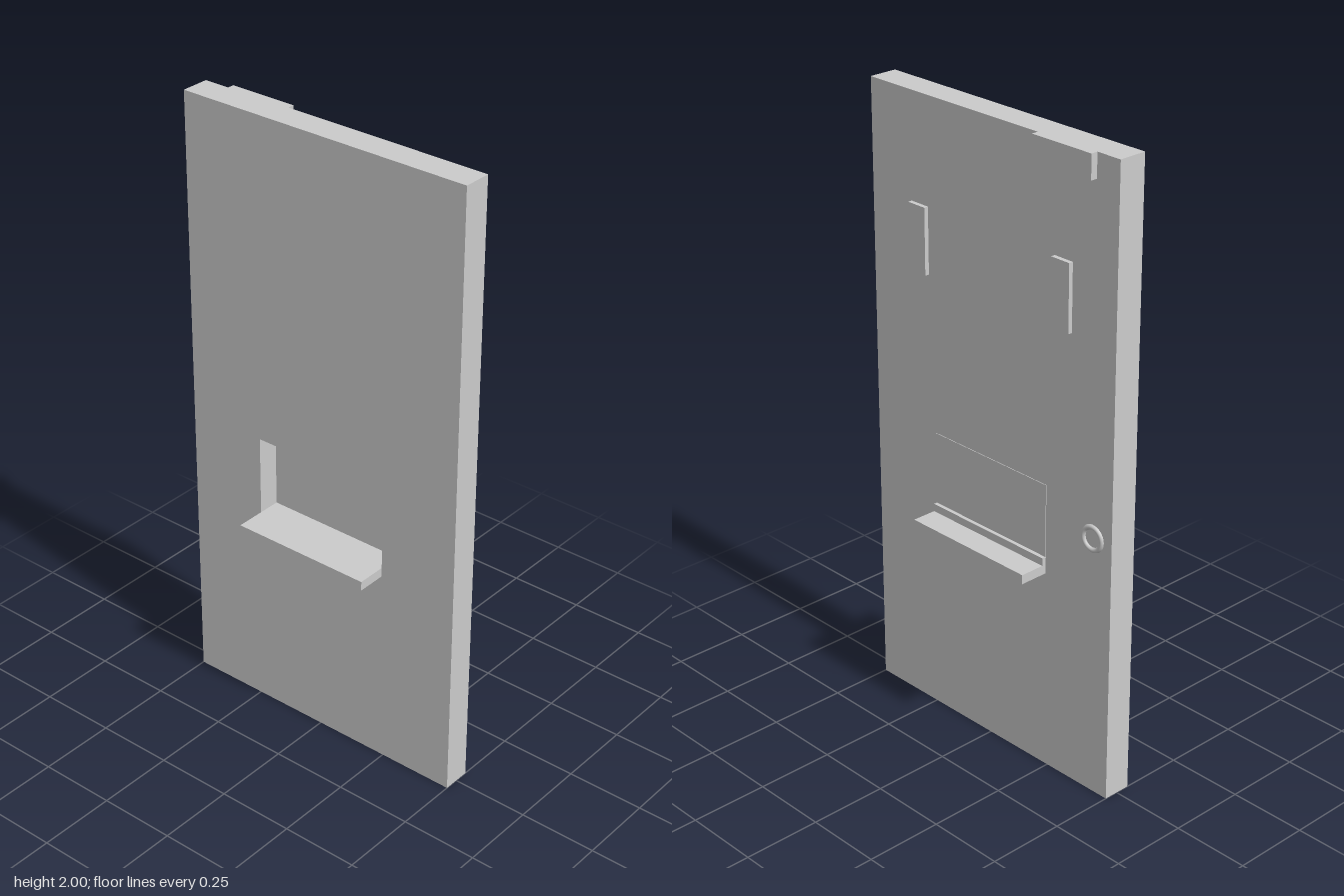
import * as THREE from 'three';

const T = 0.046; // half the slab thickness

export function createModel() {
  const group = new THREE.Group();
  const mat = new THREE.MeshStandardMaterial({ color: 0xcccccc });

  const add = (name, geometry) => {
    const mesh = new THREE.Mesh(geometry, mat);
    mesh.name = name;
    group.add(mesh);
    return mesh;
  };
  // Box given by its limits on each axis
  const box = (name, [x0, x1], [y0, y1], [z0, z1]) => {
    const mesh = add(name, new THREE.BoxGeometry(x1 - x0, y1 - y0, z1 - z0));
    mesh.position.set((x0 + x1) / 2, (y0 + y1) / 2, (z0 + z1) / 2);
    return mesh;
  };
  const rect = (C, x0, x1, y0, y1) =>
    new C().moveTo(x0, y0).lineTo(x1, y0).lineTo(x1, y1).lineTo(x0, y1).closePath();

  // Door slab with a window opening and a serving hatch
  const slab = rect(THREE.Shape, -0.5, 0.5, 0, 2);
  slab.holes.push(
    rect(THREE.Path, -0.33, 0.33, 1.455, 1.665),
    rect(THREE.Path, -0.236, 0.236, 0.66, 0.95)
  );
  const slabGeometry = new THREE.ExtrudeGeometry(slab, { depth: 2 * T, bevelEnabled: false });
  add('doorSlab', slabGeometry.translate(0, 0, -T));

  // Flush window pane and its raised side holders on the back
  box('windowPane', [-0.33, 0.33], [1.455, 1.665], [-T, T]);
  for (const s of [-1, 1]) {
    const holder = box('windowHolder', [-0.035, 0.035], [1.455, 1.665], [-0.06, -T]);
    holder.position.x = s * 0.295;
  }

  // Hatch: closing panel at the back, shelf through the door, rear lip
  box('hatchPanel', [-0.236, 0.236], [0.69, 0.95], [-T - 0.002, -0.026]);
  box('hatchShelf', [-0.236, 0.236], [0.66, 0.69], [-0.141, 0.141]);
  box('hatchLip', [-0.236, 0.236], [0.69, 0.715], [-0.06, -T]);

  // Closer block at the top of the back
  box('closerBlock', [-0.415, -0.19], [1.925, 2], [-0.068, -T]);

  // Lock ring on the back
  const ring = add('lockRing', new THREE.TorusGeometry(0.036, 0.008, 12, 40));
  ring.position.set(-0.425, 0.85, -T);

  return group;
}
